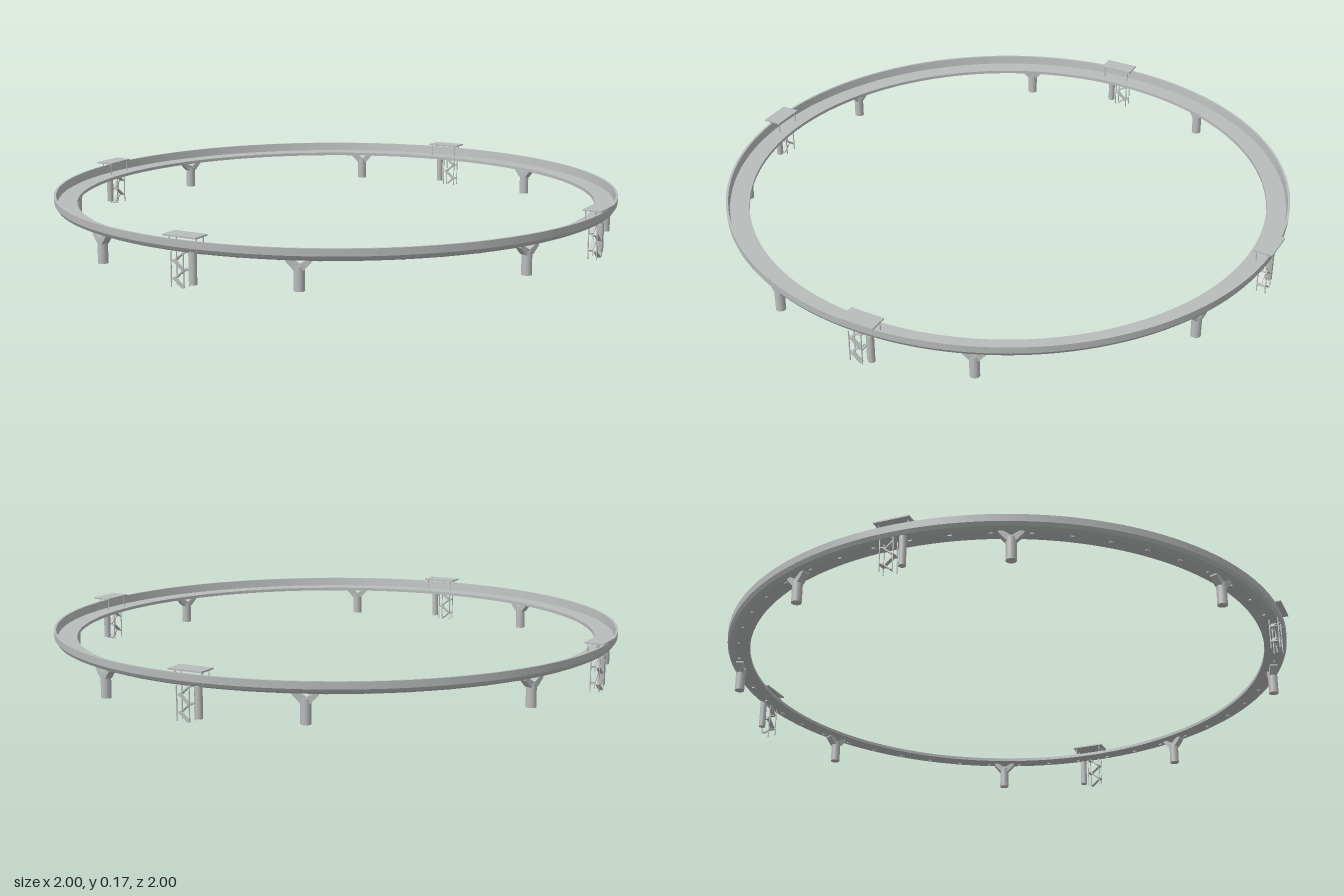
import * as THREE from 'three';
import { toCreasedNormals } from 'three/addons/utils/BufferGeometryUtils.js';

const concrete = new THREE.MeshStandardMaterial({ color: 0xb8bcbb });
concrete.name = 'pale grey concrete';

function add(parent, name, geometry, x = 0, y = 0, z = 0) {
  const mesh = new THREE.Mesh(geometry, concrete);
  mesh.name = name;
  mesh.position.set(x, y, z);
  parent.add(mesh);
  return mesh;
}

// A group whose local +x points outward from the ring centre
function radialGroup(parent, name, angle) {
  const group = new THREE.Group();
  group.name = name;
  group.rotation.y = angle;
  parent.add(group);
  return group;
}

// Ring deck with a raised outer parapet and a chamfered underside
function buildRing(root) {
  const profile = [
    [0.92, 0.111], [0.975, 0.109], [0.991, 0.116], [0.999, 0.128], [1, 0.152],
    [0.992, 0.152], [0.988, 0.122], [0.92, 0.122], [0.92, 0.111],
  ].map(([r, y]) => new THREE.Vector2(r, y));
  add(root, 'ringDeck', toCreasedNormals(new THREE.LatheGeometry(profile, 160), 0.4));
}

// Round pillar topped by a V-shaped head that spreads along the ring
function buildPillar(root, angle) {
  const pillar = radialGroup(root, 'pillar', angle);
  add(pillar, 'pillarShaft', new THREE.CylinderGeometry(0.017, 0.017, 0.078, 20), 0.96, 0.051, 0);
  const outline = [
    [-0.016, 0.078], [0.016, 0.078], [0.04, 0.104], [0.04, 0.112], [0.028, 0.112],
    [0, 0.094], [-0.028, 0.112], [-0.04, 0.112], [-0.04, 0.104],
  ].map(([x, y]) => new THREE.Vector2(x, y));
  const head = new THREE.ExtrudeGeometry(new THREE.Shape(outline), { depth: 0.026, bevelEnabled: false });
  head.translate(0, 0, -0.013).rotateY(Math.PI / 2);
  add(pillar, 'pillarHead', head, 0.96, 0, 0);
}

// Access tower: switchback stair, lift column and flat canopy
function buildStation(root, angle) {
  const station = radialGroup(root, 'accessTower', angle);
  const r = 0.98;

  add(station, 'liftColumn', new THREE.CylinderGeometry(0.012, 0.012, 0.102, 20), r, 0.063, -0.048);

  const flights = 4, rise = 0.112 / flights, run = 0.034;
  for (let i = 0; i < flights; i++) {
    const dir = i % 2 ? -1 : 1;
    const side = dir * 0.008;
    const flight = add(station, 'stairFlight',
      new THREE.BoxGeometry(0.015, 0.004, Math.hypot(run, rise)), r + side, (i + 0.5) * rise, 0);
    flight.rotation.x = -dir * Math.atan2(rise, run);
    add(station, 'stairLanding', new THREE.BoxGeometry(0.032, 0.003, 0.01),
      r, (i + 1) * rise - 0.002, dir * 0.02);
  }
  for (const x of [-0.015, 0.015]) for (const z of [-0.023, 0.023]) {
    add(station, 'stairPost', new THREE.BoxGeometry(0.003, 0.112, 0.003), r + x, 0.056, z);
  }

  add(station, 'canopy', new THREE.BoxGeometry(0.066, 0.005, 0.122), r, 0.165, -0.02);
  for (const x of [-0.025, 0.012]) for (const z of [-0.07, 0.03]) {
    add(station, 'canopyPost', new THREE.CylinderGeometry(0.002, 0.002, 0.044, 8), r + x, 0.142, z);
  }
}

// Small fixtures under the deck
function buildFixtures(root) {
  for (let i = 0; i < 48; i++) {
    const holder = radialGroup(root, 'underDeckFixture', (i + 0.5) * Math.PI / 24);
    add(holder, 'fixture', new THREE.BoxGeometry(0.008, 0.006, 0.012), 0.96, 0.108, 0);
  }
}

export function createModel() {
  const root = new THREE.Group();
  root.name = 'elevatedRingWalkway';
  buildRing(root);
  buildFixtures(root);
  for (let i = 0; i < 8; i++) buildPillar(root, Math.PI / 8 + i * Math.PI / 4);
  for (let i = 0; i < 4; i++) buildStation(root, Math.PI / 4 + i * Math.PI / 2);
  return root;
}
